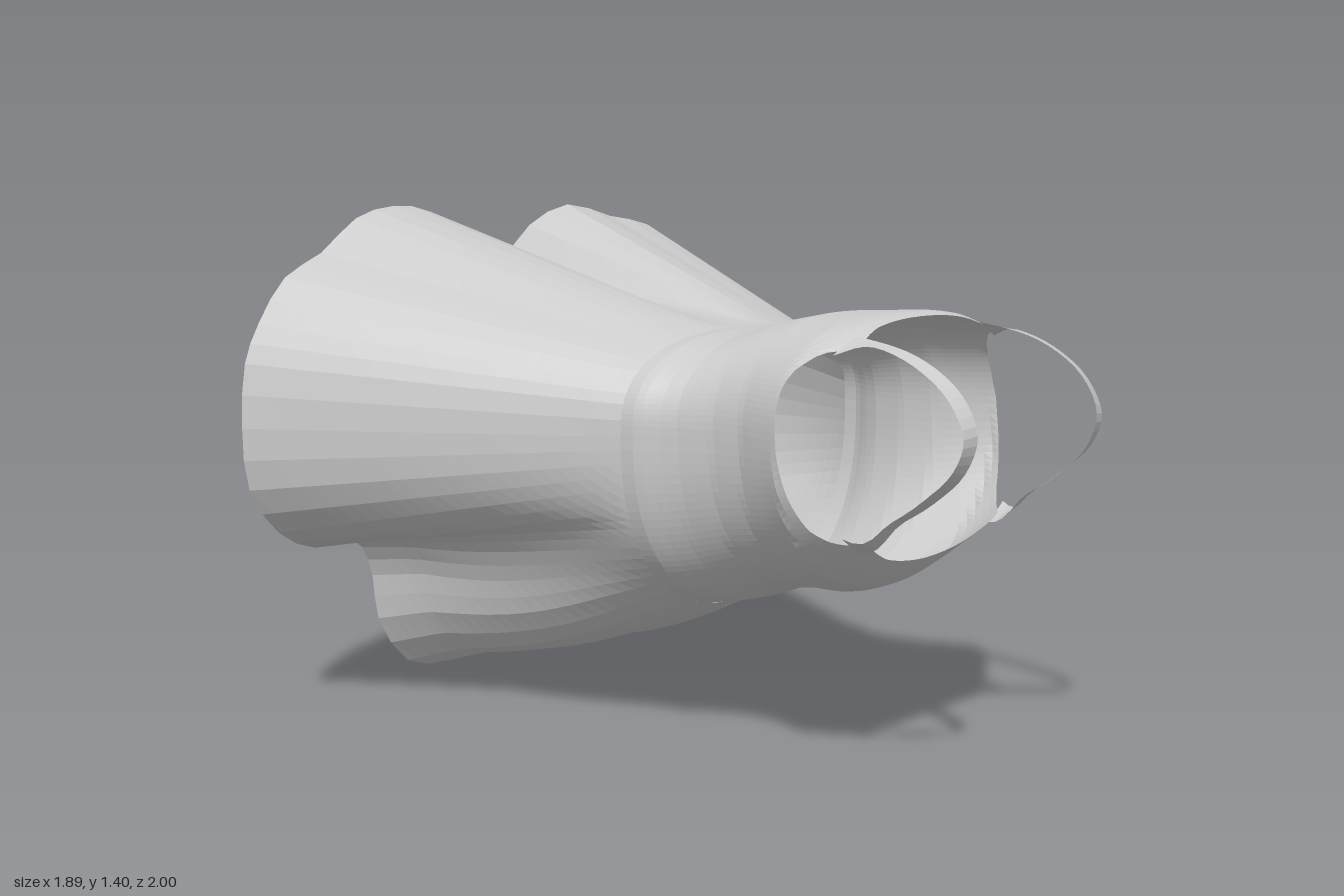
import * as THREE from 'three';

const material = new THREE.MeshStandardMaterial({ color: 0xcccccc, flatShading: true, side: THREE.DoubleSide });
const CY = 0.85; // height of the widest line of the body
const ROUND = 2.5; // superellipse exponent of the back half of the body
const { clamp, lerp, smoothstep, radToDeg } = THREE.MathUtils;

// Grid surface from a function (u, v) -> Vector3
function surface(name, nu, nv, fn) {
  const pos = [], index = [];
  for (let j = 0; j <= nv; j++)
    for (let i = 0; i <= nu; i++) pos.push(...fn(i / nu, j / nv).toArray());
  for (let j = 0; j < nv; j++)
    for (let i = 0; i < nu; i++) {
      const a = j * (nu + 1) + i, b = a + nu + 1;
      index.push(a, a + 1, b, b, a + 1, b + 1);
    }
  const geo = new THREE.BufferGeometry();
  geo.setAttribute('position', new THREE.Float32BufferAttribute(pos, 3));
  geo.setIndex(index);
  geo.computeVertexNormals();
  const mesh = new THREE.Mesh(geo, material);
  mesh.name = name;
  return mesh;
}

// Linear lookup in rows [key, ...values]
function lookup(rows, key) {
  let i = 0;
  while (i < rows.length - 2 && key > rows[i + 1][0]) i++;
  const [a, b] = [rows[i], rows[i + 1]];
  const f = clamp((key - a[0]) / (b[0] - a[0]), 0, 1);
  return a.slice(1).map((v, k) => lerp(v, b[k + 1], f));
}

// Bodice sections: z, half width, top (back), bottom (chest), exponent of the chest half
const sections = [
  [0.05, 0.47, 1.09, 0.345, 2.4], [0.1, 0.465, 1.095, 0.355, 2.4], [0.15, 0.435, 1.095, 0.365, 2.4],
  [0.2, 0.415, 1.1, 0.38, 2.4], [0.3, 0.4, 1.13, 0.42, 2.4], [0.4, 0.41, 1.15, 0.435, 2.3],
  [0.5, 0.45, 1.155, 0.435, 2.1], [0.56, 0.475, 1.16, 0.455, 2.1], [0.62, 0.46, 1.16, 0.5, 2.2],
  [0.7, 0.43, 1.13, 0.57, 2.4],
];

// Half width, signed half height and exponent of the back or chest half at z
function halfSection(z, back) {
  const [w, top, bottom, n] = lookup(sections, z);
  return back ? [w, top - CY, ROUND] : [w, bottom - CY, n];
}

// Height of the bodice surface above or below a given x
function bodiceHeight(x, z, back) {
  const [w, h, n] = halfSection(z, back);
  return CY + h * (1 - Math.abs(x / w) ** n) ** (1 / n);
}

// Upper edge: angle in degrees from the side, z (neckline, strap bases, armhole)
const edge = [
  [-90, 0.665], [-70, 0.675], [-56, 0.695], [-48, 0.68], [-40, 0.645], [-30, 0.612], [-15, 0.585], [0, 0.565],
  [12, 0.555], [24, 0.555], [34, 0.57], [42, 0.6], [49, 0.65], [58, 0.665], [70, 0.65], [90, 0.645],
];

function bodicePoint(u, v) {
  const t = u * Math.PI * 2, c = Math.cos(t), s = Math.sin(t);
  const [end] = lookup(edge, radToDeg(Math.asin(clamp(s, -1, 1))));
  const z = lerp(0.05, end, v);
  const [w, h, n] = halfSection(z, s > 0);
  return new THREE.Vector3(w * Math.sign(c) * Math.abs(c) ** (2 / n), CY + h * Math.abs(s) ** (2 / n), z);
}

// Waist point on the ray at a polar angle
function waistPoint(angle) {
  const c = Math.cos(angle), s = Math.sin(angle);
  const [w, h, n] = halfSection(0.05, s > 0);
  const r = (Math.abs(c / w) ** n + Math.abs(s / h) ** n) ** (-1 / n);
  return new THREE.Vector3(c * r, CY + s * r, 0.055);
}

// Wavy hem of the skirt
const hem = new THREE.CatmullRomCurve3([
  [0.04, 1.21, -1], [0.12, 1.24, -0.99], [0.2, 1.33, -0.965], [0.35, 1.39, -0.95], [0.52, 1.35, -0.93],
  [0.67, 1.32, -0.91], [0.82, 1.22, -0.89], [0.92, 1.06, -0.875], [0.945, 0.85, -0.87], [0.92, 0.7, -0.875],
  [0.82, 0.54, -0.89], [0.7, 0.45, -0.93], [0.52, 0.41, -0.98], [0.44, 0.34, -1], [0.42, 0.2, -0.99],
  [0.38, 0.09, -0.98], [0.3, 0.02, -0.97], [0.2, 0, -0.96], [0.1, 0.03, -0.965], [0, 0.05, -0.97],
  [-0.08, 0.05, -0.97], [-0.17, 0.03, -0.965], [-0.32, 0.06, -0.97], [-0.41, 0.2, -0.99], [-0.42, 0.33, -1],
  [-0.46, 0.42, -0.995], [-0.54, 0.46, -0.97], [-0.68, 0.46, -0.93], [-0.83, 0.53, -0.89], [-0.93, 0.66, -0.875],
  [-0.95, 0.83, -0.87], [-0.93, 1, -0.875], [-0.88, 1.1, -0.88], [-0.78, 1.22, -0.89], [-0.64, 1.28, -0.91],
  [-0.5, 1.37, -0.93], [-0.35, 1.4, -0.95], [-0.2, 1.38, -0.96], [-0.1, 1.3, -0.97], [-0.04, 1.23, -0.99],
].map((p) => new THREE.Vector3(...p)), true);

function skirtPoint(u, v) {
  const end = hem.getPoint(1 - u);
  // front pleats spread wider at the waist than at the hem
  const spread = end.y < CY ? 1.25 : 1;
  const p = waistPoint(Math.atan2(end.y - CY, end.x * spread)).lerp(end, v);
  // the front bellies out a little below the waist
  p.y -= 0.04 * Math.sin(Math.PI * Math.min(1, v / 0.8)) * smoothstep(CY - p.y, 0.25, 0.55);
  return p;
}

// Shoulder strap: thin ribbon whose outer edge flares into the armhole
const strapPath = new THREE.CatmullRomCurve3([
  [0, 1.1, 0.635], [0, 1.105, 0.73], [0, 1.07, 0.85], [0, 1, 0.95], [0, 0.91, 0.995],
  [0, 0.82, 0.965], [0, 0.74, 0.88], [0, 0.67, 0.77], [0, 0.61, 0.67],
].map((p) => new THREE.Vector3(...p)));
// position along the strap, inner x, outer x
const strapEdges = [
  [0, 0.26, 0.345], [0.07, 0.265, 0.32], [0.14, 0.265, 0.308], [0.5, 0.265, 0.308],
  [0.8, 0.27, 0.312], [0.92, 0.275, 0.325], [1, 0.275, 0.35],
];

function strapPoint(side) {
  return (u, v) => {
    const p = strapPath.getPoint(v);
    const [inner, outer] = lookup(strapEdges, v);
    const x = lerp(inner, outer, u);
    // slight tilt of the outer edge toward the middle of the loop
    const tilt = 0.01 * u * Math.sin(Math.PI * v);
    p.y += tilt * clamp((CY - p.y) / 0.1, -1, 1);
    p.z -= tilt;
    // both ends settle onto the bodice
    p.y = lerp(p.y, bodiceHeight(x, 0.64, true), 1 - smoothstep(v, 0, 0.15));
    p.y = lerp(p.y, bodiceHeight(x, 0.67, false), smoothstep(v, 0.85, 1));
    p.x = side * x;
    return p;
  };
}

export function createModel() {
  const dress = new THREE.Group();
  dress.name = 'dress';
  dress.add(surface('bodice', 128, 24, bodicePoint));
  dress.add(surface('skirt', 80, 24, skirtPoint));
  dress.add(surface('leftStrap', 2, 32, strapPoint(1)));
  dress.add(surface('rightStrap', 2, 32, strapPoint(-1)));
  return dress;
}
